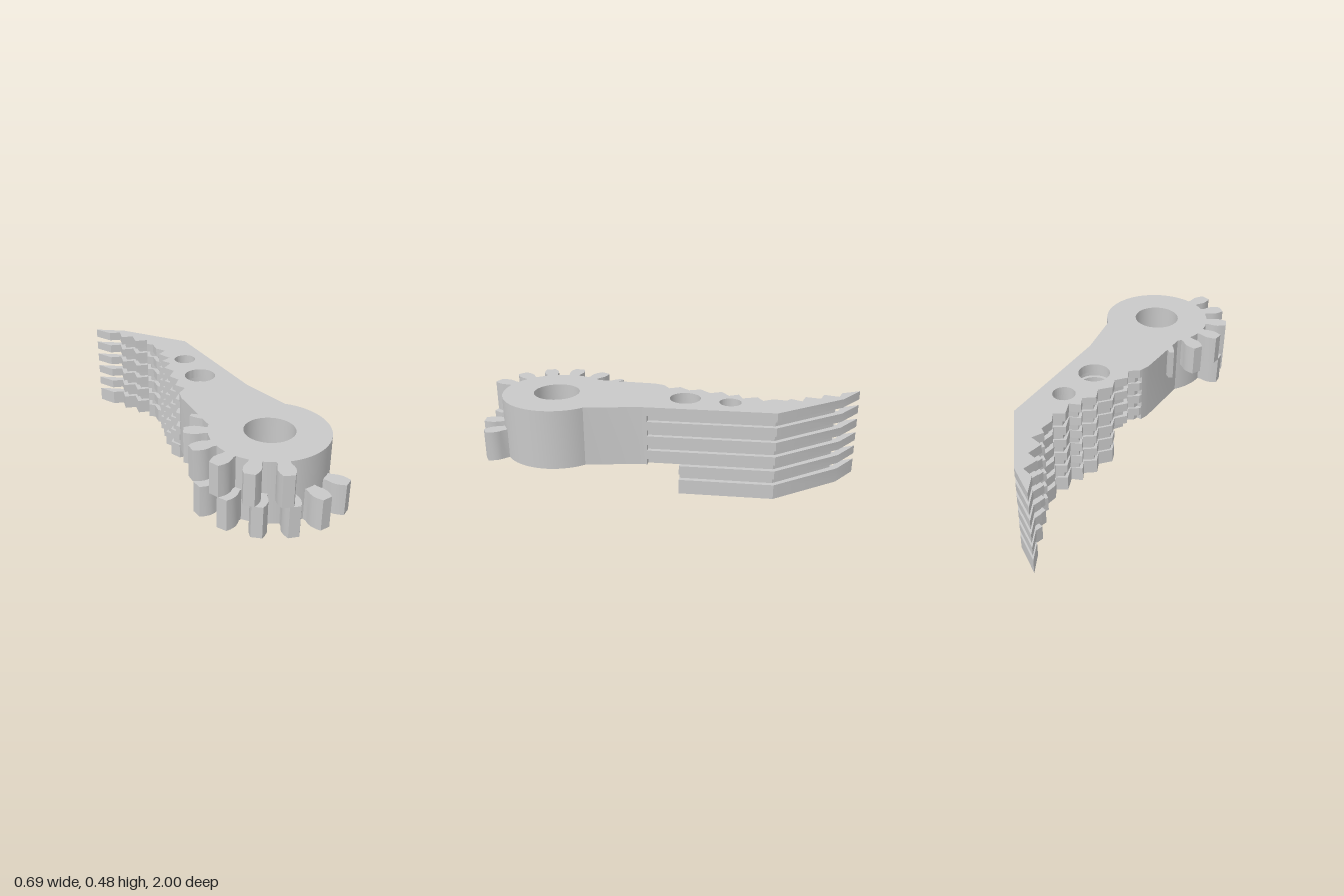
import * as THREE from 'three';
import { toCreasedNormals } from 'three/addons/utils/BufferGeometryUtils.js';

const gray = new THREE.MeshStandardMaterial({ color: 0xc8c8c8 });
gray.name = 'machined gray';

// Plan shapes use (x, -z), so extruding and tipping them back gives y up.
const slotEnd = 0.075, stepCut = -0.092;
const hub = { x: 0.058, z: 0.603, r: 0.29, bore: 0.123 };
const bigHole = { x: 0.014, z: -0.094, r: 0.082 };
const smallHole = { x: 0.027, z: -0.335, r: 0.058 };
const coreHoleRadius = 0.1;

// Serrated gripping edge, from its root to the tip, as [x, z]
const serration = [
  [-0.113, -0.092], [-0.14, -0.15], [-0.092, -0.21], [-0.123, -0.27], [-0.07, -0.315],
  [-0.1, -0.365], [-0.045, -0.39], [-0.08, -0.465], [-0.03, -0.5], [-0.065, -0.55],
  [-0.06, -0.62], [-0.09, -0.64], [-0.065, -0.7], [-0.135, -0.715], [-0.125, -0.795],
  [-0.19, -0.81], [-0.175, -0.89], [-0.235, -0.905], [-0.29, -1],
];
const backEdge = [[-0.14, -0.91], [0.135, -0.588]];

function trace(shape, points) {
  points.forEach(([x, z]) => shape.lineTo(x, -z));
  return shape;
}

// Outlines run clockwise, so holes run counterclockwise
function addHole(shape, { x, z }, r) {
  const hole = new THREE.Path();
  hole.absarc(x, -z, r, 0, Math.PI * 2, false);
  shape.holes.push(hole);
}

function slab(name, shape, y0, y1) {
  const geo = new THREE.ExtrudeGeometry(shape, { depth: y1 - y0, bevelEnabled: false, curveSegments: 32 });
  geo.rotateX(-Math.PI / 2);
  geo.translate(0, y0, 0);
  const mesh = new THREE.Mesh(toCreasedNormals(geo, 0.45), gray);
  mesh.name = name;
  return mesh;
}

// Round hub with the neck leading to the jaw
function hubShape() {
  const s = new THREE.Shape();
  s.moveTo(0.187, -slotEnd);
  trace(s, [[0.19, 0.116], [0.257, 0.39]]);
  s.absarc(hub.x, -hub.z, hub.r, 0.81, 2.527, true);
  trace(s, [[-0.185, 0.12], [-0.175, slotEnd]]);
  addHole(s, hub, hub.bore);
  return s;
}

// Full-length finger plate
function longFinger() {
  const s = new THREE.Shape();
  s.moveTo(0.187, -slotEnd);
  trace(s, [[-0.175, slotEnd], [-0.17, 0.06], [-0.123, 0.02], [-0.155, -0.035], ...serration, ...backEdge]);
  addHole(s, bigHole, bigHole.r);
  addHole(s, smallHole, smallHole.r);
  return s;
}

// Shorter finger whose front cut runs through the big hole
function shortFinger() {
  const s = new THREE.Shape();
  s.moveTo(0.174, -stepCut);
  s.lineTo(bigHole.x + bigHole.r, -stepCut);
  s.absarc(bigHole.x, -stepCut, bigHole.r, 0, Math.PI, false);
  trace(s, [...serration, ...backEdge]);
  addHole(s, smallHole, smallHole.r);
  return s;
}

// Inset web joining the fingers
const coreEdge = [
  [-0.125, -0.15], [-0.078, -0.21], [-0.105, -0.27], [-0.055, -0.31], [-0.08, -0.365], [-0.04, -0.39],
  [-0.06, -0.465], [-0.012, -0.5], [-0.04, -0.55], [-0.035, -0.62], [-0.065, -0.645], [-0.042, -0.72],
  [-0.105, -0.735], [-0.1, -0.815], [-0.158, -0.83], [-0.15, -0.872], [0.11, -0.578],
];
function coreShape(long) {
  const s = new THREE.Shape();
  if (long) {
    s.moveTo(0.162, -slotEnd);
    trace(s, [[-0.15, slotEnd], [-0.145, 0.05], [-0.1, 0.015], [-0.13, -0.035], [-0.1, -0.09], ...coreEdge]);
    addHole(s, bigHole, coreHoleRadius);
  } else {
    s.moveTo(0.147, -stepCut);
    s.lineTo(bigHole.x + coreHoleRadius, -stepCut);
    s.absarc(bigHole.x, -stepCut, coreHoleRadius, 0, Math.PI, false);
    trace(s, [[-0.1, stepCut], ...coreEdge]);
  }
  addHole(s, smallHole, 0.061);
  return s;
}

// One gear tooth, pointing along an angle measured from +x towards +z
function toothShape(degrees, width = 1) {
  const a = THREE.MathUtils.degToRad(degrees), c = Math.cos(a), n = Math.sin(a);
  const half = [[0.265, 0.03], [0.305, 0.03], [0.33, 0.038], [0.352, 0.041], [0.378, 0.036], [0.402, 0.026]];
  const outline = [...half, ...half.map(([r, w]) => [r, -w]).reverse()];
  return new THREE.Shape(outline.map(([r, w]) =>
    new THREE.Vector2(hub.x + r * c - w * width * n, -(hub.z + r * n + w * width * c))));
}

export function createModel() {
  const model = new THREE.Group();
  model.name = 'gripperJaw';
  const bottom = 0.161, middle = 0.322, top = 0.4825, pitch = 0.0805, gap = 0.033;

  model.add(slab('hub', hubShape(), bottom, top));

  // Two staggered rows of gear teeth, the last upper one being a sliver
  const gear = new THREE.Group();
  gear.name = 'gearTeeth';
  [107, 131, 155.5, 180, 204.5].forEach(d => gear.add(slab('upperTooth', toothShape(d), middle, top)));
  gear.add(slab('upperSliverTooth', toothShape(227, 0.45), middle, top));
  [54.5, 79, 102, 125.5, 149, 172].forEach(d => gear.add(slab('lowerTooth', toothShape(d), bottom, middle)));
  model.add(gear);

  // Stacked fingers separated by slots
  const fingers = new THREE.Group();
  fingers.name = 'fingers';
  fingers.add(slab('bottomFinger', shortFinger(), 0, 0.08));
  for (let k = 0; k < 5; k++) {
    const y = 0.08 + k * pitch;
    fingers.add(slab('slotCore', coreShape(k > 0), y, y + gap));
    fingers.add(slab('finger', k ? longFinger() : shortFinger(), y + gap, y + pitch));
  }
  model.add(fingers);
  return model;
}
